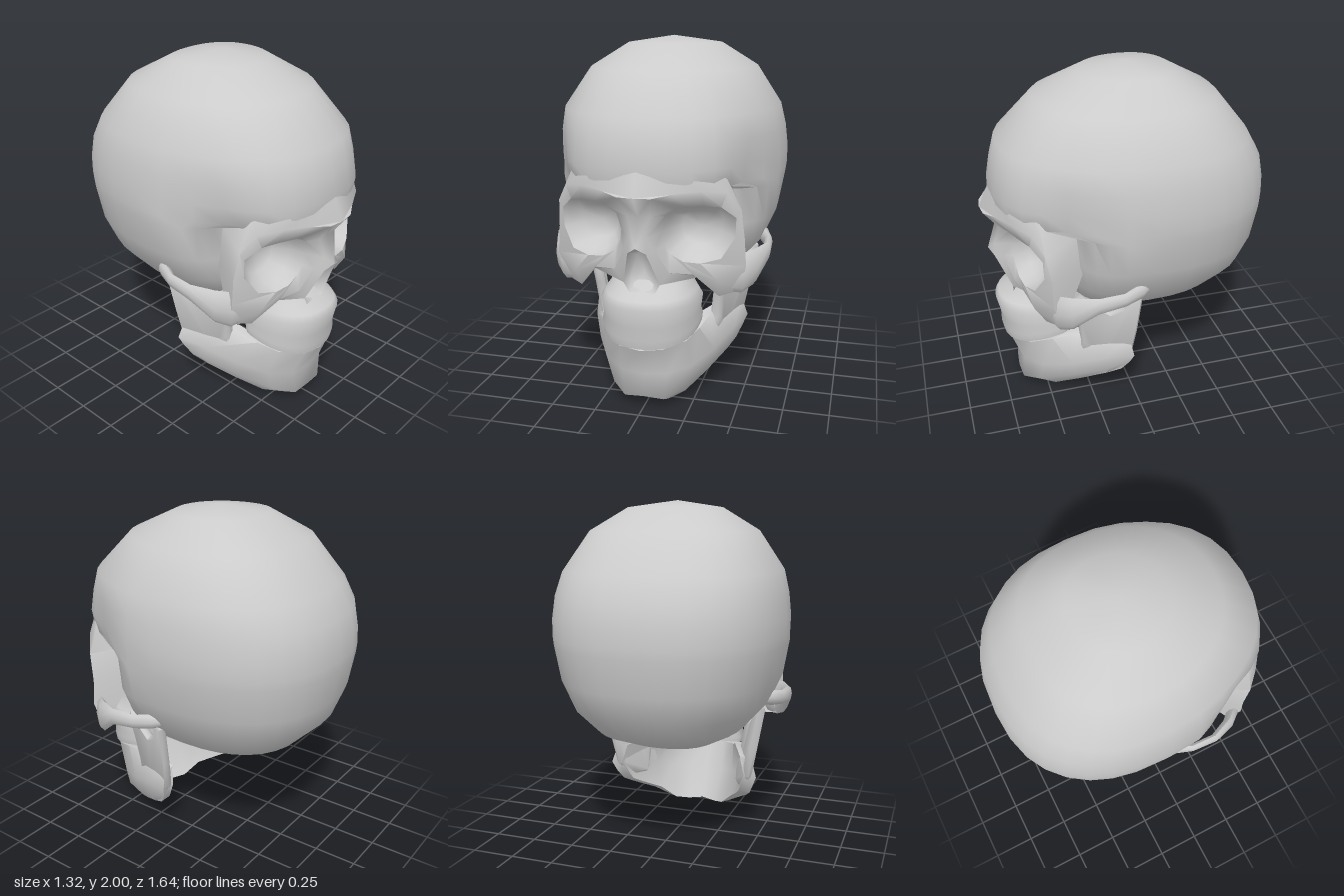
import * as THREE from 'three';
import { mergeGeometries, toCreasedNormals } from 'three/addons/utils/BufferGeometryUtils.js';

const bone = new THREE.MeshStandardMaterial({ color: 0xcccccc, side: THREE.DoubleSide });

// Skin closed loops of points into a surface; start/end are optional cap centres.
function loft(sections, start, end) {
  const out = [];
  const tri = (...pts) => pts.forEach((p) => out.push(...p));
  const n = sections[0].length;
  for (let j = 0; j < n; j++) {
    const k = (j + 1) % n;
    for (let i = 0; i < sections.length - 1; i++) {
      const s = sections[i], t = sections[i + 1];
      tri(s[j], t[j], t[k]);
      tri(s[j], t[k], s[k]);
    }
    const first = sections[0], last = sections[sections.length - 1];
    if (start) tri(start, first[j], first[k]);
    if (end) tri(last[j], end, last[k]);
  }
  const geo = new THREE.BufferGeometry();
  geo.setAttribute('position', new THREE.Float32BufferAttribute(out, 3));
  return geo;
}

// Mirrored copy across x = 0 with the winding kept outward.
function mirror(geo) {
  const g = geo.clone().scale(-1, 1, 1);
  const a = g.attributes.position.array;
  for (let i = 0; i < a.length; i += 9)
    for (let c = 0; c < 3; c++) [a[i + c], a[i + 6 + c]] = [a[i + 6 + c], a[i + c]];
  return g;
}

function part(name, geo, crease = 1) {
  const mesh = new THREE.Mesh(toCreasedNormals(geo, crease), bone);
  mesh.name = name;
  return mesh;
}

// Horizontal superelliptic loop, widest at zc; p and back set how square its two halves are.
function ring({ y, w, zf, zb, zc, p = 2.2, back = 2.1, slope = 0 }) {
  const n = 32;
  return Array.from({ length: n }, (_, j) => {
    const t = (j / n) * Math.PI * 2, s = Math.sin(t), c = Math.cos(t);
    const e = 2 / (c > 0.001 ? p : back);
    const x = w * Math.sign(s) * Math.abs(s) ** e;
    const z = zc + (c > 0 ? zf - zc : zc - zb) * Math.sign(c) * Math.abs(c) ** e;
    return [x, y + slope * (zf - z), z];
  });
}

function cranium() {
  const rows = [
    // y, half width, front z, back z, squareness of front
    [1.96, 0.27, 0.22, -0.3, 2], [1.83, 0.475, 0.49, -0.54, 2.1], [1.61, 0.615, 0.7, -0.72, 2.2],
    [1.48, 0.645, 0.735, -0.795, 2.2], [1.35, 0.66, 0.76, -0.82, 2.2], [1.25, 0.658, 0.74, -0.825, 2.2],
    [1.2, 0.652, 0.42, -0.822, 3.5], [1.0, 0.615, 0.4, -0.79, 3.5], [0.84, 0.545, 0.38, -0.73, 3.2],
    [0.7, 0.42, 0.34, -0.59, 2.8], [0.615, 0.27, 0.2, -0.37, 2.2],
  ];
  const loops = rows.map(([y, w, zf, zb, p]) => ring({ y, w, zf, zb, p, zc: -0.07, back: 2.4 }));
  // Hollow of the temples
  for (const v of loops.flat()) {
    const d = 0.07 * Math.exp(-(((v[1] - 1.24) / 0.27) ** 2) - ((v[2] - 0.4) / 0.17) ** 2);
    v[0] -= Math.sign(v[0]) * d * Math.min(1, Math.abs(v[0]) / 0.4);
  }
  return part('cranium', loft(loops, [0, 2, -0.04], [0, 0.585, -0.09]), 1.1);
}

// Loops around one eye socket: surround, raised border, rim, then the bowl.
function face() {
  const surround = [
    [0, 1.11, 0.725], [0, 1.225, 0.815], [0, 1.38, 0.745], [0.24, 1.37, 0.685], [0.41, 1.33, 0.55], [0.42, 1.2, 0.33],
    [0.42, 1.0, 0.3], [0.5, 0.665, 0.46], [0.39, 0.645, 0.53], [0.3, 0.755, 0.55], [0.1, 0.73, 0.67], [0.05, 0.92, 0.755],
    [0, 0.955, 0.785],
  ];
  const border = [
    [0.06, 1.11, 0.72], [0.09, 1.225, 0.805], [0.18, 1.24, 0.755], [0.32, 1.25, 0.685], [0.44, 1.23, 0.595], [0.505, 1.13, 0.54],
    [0.52, 0.97, 0.51], [0.53, 0.82, 0.51], [0.4, 0.75, 0.595], [0.27, 0.79, 0.63], [0.15, 0.8, 0.665], [0.085, 0.93, 0.71],
    [0.045, 1.0, 0.75],
  ];
  const rim = [
    [0.13, 1.11, 0.68], [0.19, 1.155, 0.69], [0.25, 1.168, 0.685], [0.33, 1.17, 0.655], [0.41, 1.155, 0.605], [0.48, 1.09, 0.55],
    [0.475, 0.98, 0.545], [0.41, 0.875, 0.59], [0.31, 0.853, 0.63], [0.22, 0.86, 0.645], [0.15, 0.9, 0.65], [0.12, 0.95, 0.655],
    [0.11, 1.02, 0.66],
  ];
  const shrink = (k, z, m) => rim.map((v) => [
    v[0] + (0.28 - v[0]) * k, v[1] + (1.01 - v[1]) * k, v[2] + (z - v[2]) * m,
  ]);
  const half = loft([surround, border, rim, shrink(0.12, 0.46, 0.45), shrink(0.42, 0.46, 0.85)], null, [0.28, 1.01, 0.45]);
  return part('face', mergeGeometries([half, mirror(half)]), 1.25);
}

function noseOpening() {
  const side = [[0.05, 0.92, 0.755], [0.1, 0.73, 0.67], [0.07, 0.675, 0.665]];
  const edge = [[0, 0.955, 0.785], ...side, [0, 0.66, 0.68], ...side.map(([x, y, z]) => [-x, y, z]).reverse()];
  const inner = edge.map(([x, y]) => [x * 0.7, 0.79 + (y - 0.79) * 0.7, 0.63]);
  return part('noseOpening', loft([edge, inner], null, [0, 0.78, 0.61]), 1.2);
}

function upperJaw() {
  const rows = [
    // y, half width, front z, slope toward the back
    [0.8, 0.2, 0.5, 0], [0.735, 0.215, 0.625, 0], [0.68, 0.235, 0.655, 0], [0.65, 0.255, 0.745, 0], [0.61, 0.28, 0.765, 0],
    [0.5, 0.27, 0.74, 0.1], [0.43, 0.28, 0.74, 0.2], [0.38, 0.275, 0.73, 0.25],
  ];
  const loops = rows.map(([y, w, zf, slope]) => ring({ y, w, zf, slope, zc: 0.42, zb: 0.31, p: 2.3 }));
  // Hollow palate inside the lower edge
  loops.push(loops[7].map(([x, y, z]) => [x * 0.8, y + 0.02, 0.45 + (z - 0.45) * 0.8]));
  return part('upperJaw', loft(loops, [0, 0.8, 0.4], [0, 0.58, 0.43]), 1.1);
}

// Cheekbone running back into the arch that meets the side of the cranium.
function cheekArch() {
  const path = [
    // x, y, z, half height, half thickness
    [0.43, 0.76, 0.5, 0.09, 0.03], [0.5, 0.765, 0.475, 0.11, 0.035], [0.555, 0.785, 0.41, 0.1, 0.032],
    [0.607, 0.84, 0.28, 0.05, 0.024], [0.6, 0.85, 0.13, 0.042, 0.022], [0.56, 0.865, 0.03, 0.045, 0.03], [0.5, 0.87, -0.04, 0.03, 0.03],
  ];
  const loops = path.map(([x, y, z, h, t], i) => {
    const a = path[Math.max(i - 1, 0)], b = path[Math.min(i + 1, path.length - 1)];
    const dx = b[0] - a[0], dz = b[2] - a[2], len = Math.hypot(dx, dz);
    return Array.from({ length: 8 }, (_, j) => {
      const q = (j / 8) * Math.PI * 2, o = (t * Math.cos(q)) / len;
      return [x - dz * o, y + h * Math.sin(q), z + dx * o];
    });
  });
  return loft(loops, path[0].slice(0, 3), path[6].slice(0, 3));
}

function lowerJaw() {
  // Outer profile at each station from the chin back: top, middle, low, bottom
  const stations = [
    [[0, 0.37, 0.725], [0, 0.2, 0.645], [0, 0.07, 0.655], [0, 0.015, 0.55]],
    [[0.12, 0.378, 0.7], [0.13, 0.21, 0.635], [0.11, 0.06, 0.645], [0.11, 0.005, 0.53]],
    [[0.23, 0.4, 0.6], [0.25, 0.23, 0.54], [0.2, 0.09, 0.56], [0.19, 0.03, 0.46]],
    [[0.275, 0.43, 0.48], [0.34, 0.27, 0.38], [0.32, 0.17, 0.36], [0.29, 0.11, 0.33]],
    [[0.31, 0.465, 0.34], [0.425, 0.34, 0.2], [0.41, 0.24, 0.18], [0.38, 0.19, 0.18]],
    [[0.44, 0.47, 0.055], [0.475, 0.36, 0.035], [0.45, 0.3, 0.055], [0.42, 0.235, 0.1]],
  ].map((s) => {
    const inward = ([x, y, z]) => [x * 0.84, y + 0.01, z - (z > 0.4 ? 0.08 : 0.01)];
    return [...s, inward(s[3]), inward(s[1]), inward(s[0])];
  });
  const flipped = stations.slice(1).map((s) => s.map(([x, y, z]) => [-x, y, z]));
  const all = [...stations.slice().reverse(), ...flipped];
  return part('lowerJaw', loft(all, [0.42, 0.35, 0.055], [-0.42, 0.35, 0.055]), 1.25);
}

// Upright plate of the jaw with its two prongs, bent to follow the cheek and sink into the body below.
function jawBranch() {
  const outline = [
    [0.36, 0.73], [0.33, 0.77], [0.27, 0.71], [0.17, 0.65], [0.09, 0.7], [0.065, 0.79], [0.015, 0.79],
    [0.03, 0.55], [0.05, 0.36], [0.13, 0.28], [0.22, 0.27], [0.32, 0.32], [0.31, 0.44], [0.33, 0.6],
  ];
  const shape = new THREE.Shape(outline.map(([z, y]) => new THREE.Vector2(-z, y)));
  const geo = new THREE.ExtrudeGeometry(shape, {
    depth: 0.03, bevelThickness: 0.015, bevelSize: 0.012, bevelSegments: 1,
  });
  geo.rotateY(Math.PI / 2);
  geo.deleteAttribute('uv');
  geo.deleteAttribute('normal');
  const p = geo.attributes.position;
  for (let i = 0; i < p.count; i++) {
    const y = p.getY(i);
    p.setX(i, p.getX(i) + 0.43 - 0.36 * p.getZ(i) + 0.17 * Math.max(y - 0.45, 0) - 0.25 * Math.max(0.42 - y, 0));
  }
  return geo;
}

export function createModel() {
  const skull = new THREE.Group();
  skull.name = 'skull';
  skull.add(cranium(), face(), noseOpening(), upperJaw(), lowerJaw());
  for (const [name, geo] of [['CheekArch', cheekArch()], ['JawBranch', jawBranch()]])
    skull.add(part('left' + name, geo), part('right' + name, mirror(geo)));
  return skull;
}
